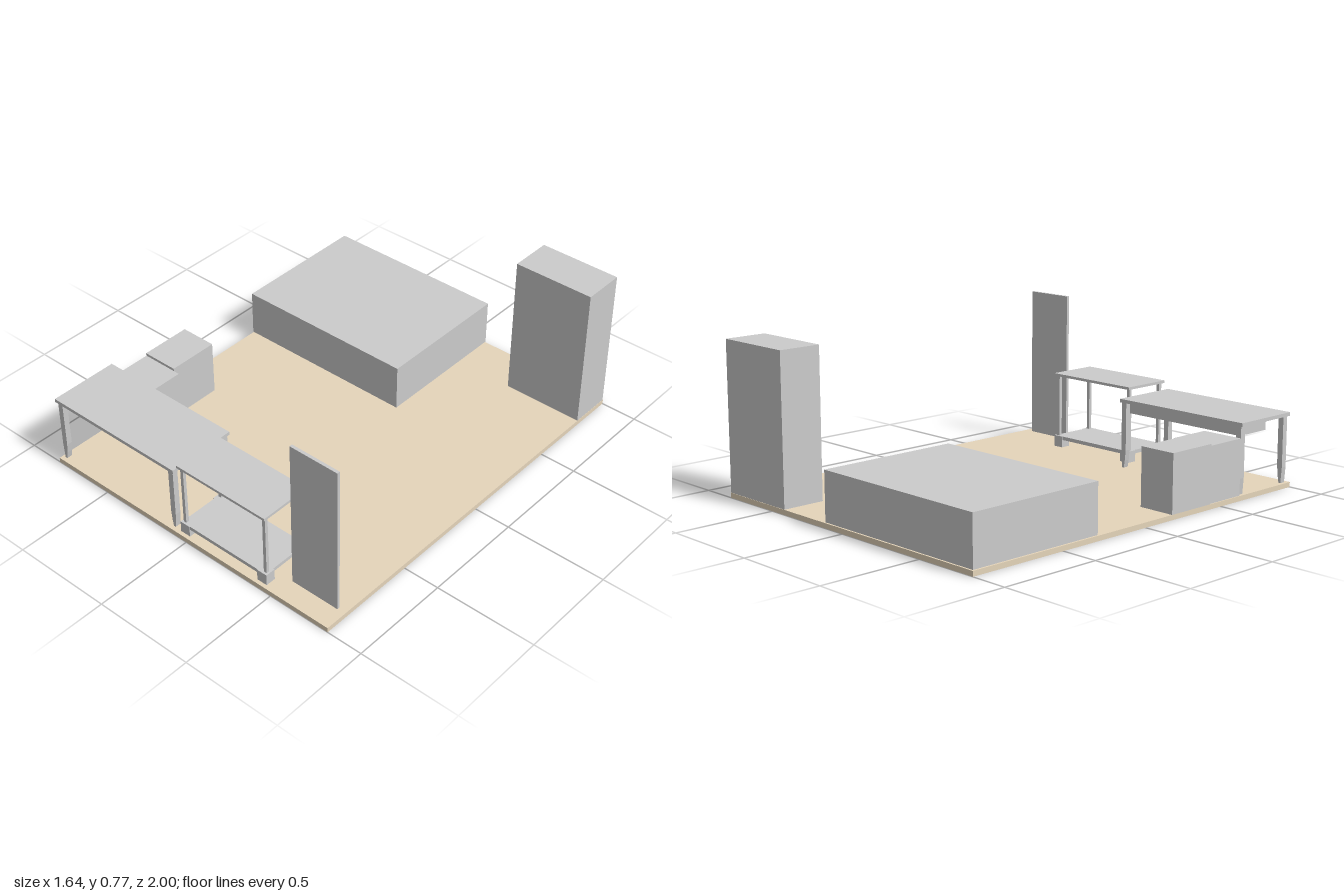
import * as THREE from 'three';

const grey = new THREE.MeshStandardMaterial({ color: 0xcccccc });
const wood = new THREE.MeshStandardMaterial({ color: 0xe5d5ba });

const FLOOR = 0.024;

// Box given by its extents on each axis
function block(name, [x0, x1], [y0, y1], [z0, z1], material = grey) {
  const mesh = new THREE.Mesh(new THREE.BoxGeometry(x1 - x0, y1 - y0, z1 - z0), material);
  mesh.name = name;
  mesh.position.set((x0 + x1) / 2, (y0 + y1) / 2, (z0 + z1) / 2);
  return mesh;
}

// Desk with a drawer box and four legs that taper on their inner side
function createDesk() {
  const desk = new THREE.Group();
  desk.name = 'desk';
  desk.add(block('deskTop', [-0.82, -0.07], [0.343, 0.36], [0.638, 0.985]));
  desk.add(block('deskDrawer', [-0.781, -0.105], [0.29, 0.343], [0.67, 0.855]));

  const profile = new THREE.Shape([
    [-0.014, 0.343], [-0.014, 0.1], [-0.008, FLOOR],
    [0.003, FLOOR], [0.009, 0.06], [0.014, 0.11], [0.014, 0.343],
  ].map(([x, y]) => new THREE.Vector2(x, y)));
  const legGeometry = new THREE.ExtrudeGeometry(profile, { depth: 0.028, bevelEnabled: false });
  legGeometry.translate(0, 0, -0.014);
  for (const x of [-0.795, -0.093]) {
    for (const z of [0.657, 0.964]) {
      const leg = new THREE.Mesh(legGeometry, grey);
      leg.name = 'deskLeg';
      leg.position.set(x, 0, z);
      if (x > -0.4) leg.rotation.y = Math.PI; // inner taper faces the other leg
      desk.add(leg);
    }
  }
  return desk;
}

// Open table with a low shelf on block feet
function createShelfTable() {
  const table = new THREE.Group();
  table.name = 'shelfTable';
  table.add(block('tableTop', [-0.048, 0.462], [0.387, 0.4], [0.725, 0.983]));
  table.add(block('lowerShelf', [-0.042, 0.455], [0.062, 0.08], [0.73, 0.978]));
  for (const sx of [-1, 1]) {
    for (const sz of [-1, 1]) {
      const x = 0.207 + sx * 0.238, z = 0.854 + sz * 0.108;
      table.add(block('tablePost', [x - 0.008, x + 0.008], [0.08, 0.387], [z - 0.008, z + 0.008]));
      const fx = 0.207 + sx * 0.228, fz = 0.854 + sz * 0.102;
      table.add(block('tableFoot', [fx - 0.027, fx + 0.027], [FLOOR, 0.08], [fz - 0.025, fz + 0.025]));
    }
  }
  return table;
}

export function createModel() {
  const room = new THREE.Group();
  room.name = 'bedroom';
  room.add(
    block('floor', [-0.82, 0.82], [0, FLOOR], [-1, 1], wood),
    block('bed', [-0.82, 0.115], [0.028, 0.26], [-1, -0.298]),
    block('wardrobe', [0.412, 0.819], [FLOOR, 0.735], [-0.998, -0.787]),
    block('mirror', [0.527, 0.779], [FLOOR, 0.767], [0.877, 0.892]),
    block('bedsideCabinet', [-0.82, -0.636], [FLOOR, 0.3], [0.17, 0.425]),
    block('deskCabinet', [-0.815, -0.601], [FLOOR, 0.29], [0.428, 0.636]),
    createDesk(),
    createShelfTable(),
  );
  return room;
}
